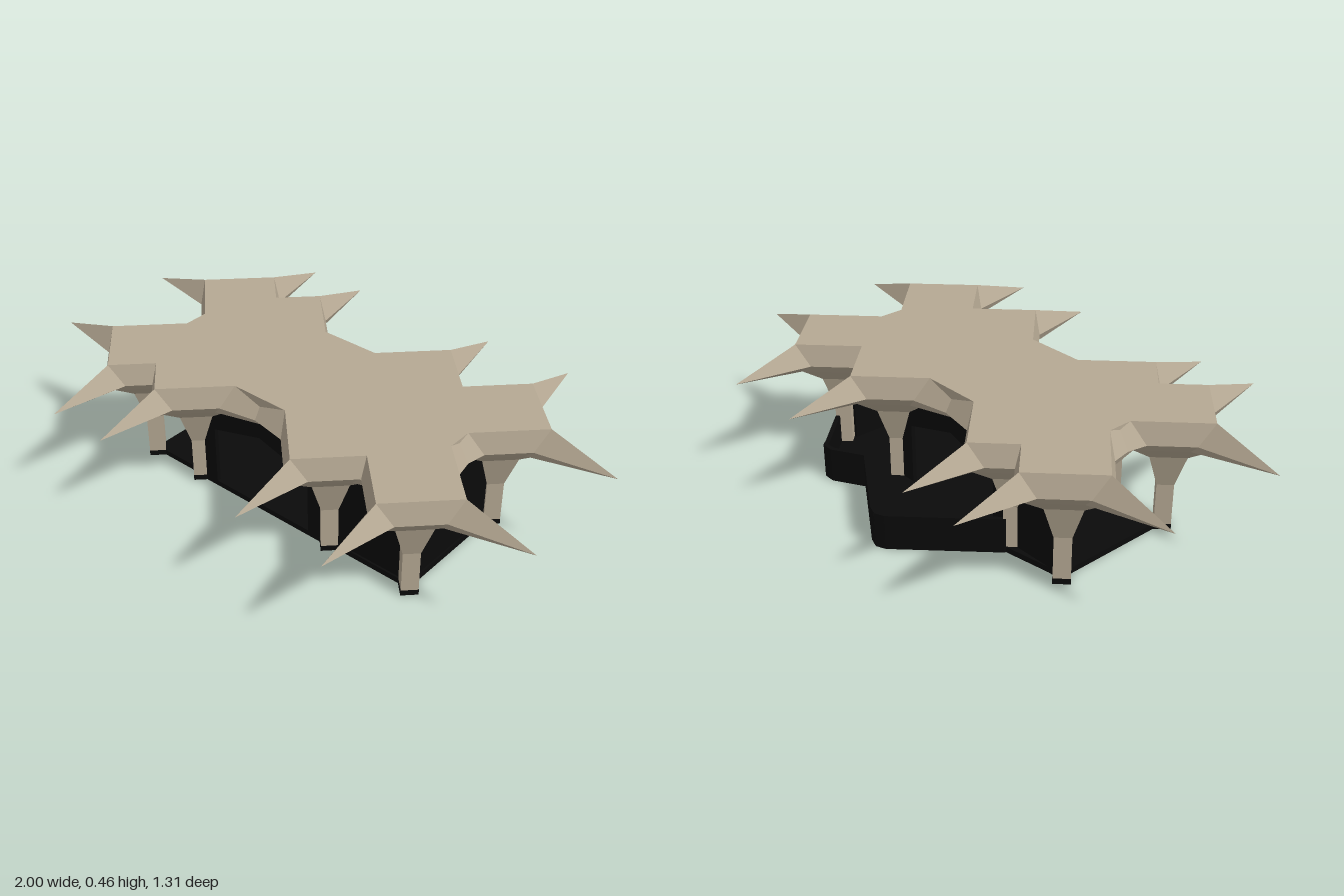
import * as THREE from 'three';

const stone = new THREE.MeshStandardMaterial({ color: 0xb5a893, flatShading: true, side: THREE.DoubleSide });
const black = new THREE.MeshStandardMaterial({ color: 0x0a0a0a, flatShading: true, side: THREE.DoubleSide });

const COLS = [-0.573, -0.345, 0.245, 0.573];
const ZC = 0.23;

// Column sections: height, tip reach, diamond radius, half width of the arm
const SECTIONS = [
  [0.02, 0.04, 0.04, 0.01],
  [0.17, 0.04, 0.04, 0.01],
  [0.29, 0.085, 0.085, 0.02],
  [0.345, 0.165, 0.165, 0.04],
  [0.38, 0.427, 0.21, 0.05],
  [0.455, 0.185, 0.185, 0],
];

// Four-armed column flaring into a spiked canopy
function starColumnGeometry() {
  const pos = [], index = [];
  for (const [y, tip, r, w] of SECTIONS) {
    for (let k = 0; k < 4; k++) {
      const a = k * Math.PI / 2, c = Math.cos(a), s = Math.sin(a);
      for (const [u, v] of [[r - w, -w], [tip, 0], [r - w, w]]) {
        pos.push(u * c - v * s, y, u * s + v * c);
      }
    }
  }
  const n = 12, last = (SECTIONS.length - 1) * n;
  for (let i = 0; i < SECTIONS.length - 1; i++) {
    for (let j = 0; j < n; j++) {
      const a = i * n + j, b = i * n + (j + 1) % n;
      index.push(a, a + n, b, b, a + n, b + n);
    }
  }
  const centre = pos.length / 3;
  pos.push(0, 0.455, 0);
  for (let j = 0; j < n; j++) index.push(centre, last + (j + 1) % n, last + j);
  const g = new THREE.BufferGeometry();
  g.setAttribute('position', new THREE.Float32BufferAttribute(pos, 3));
  g.setIndex(index);
  const flat = g.toNonIndexed();
  flat.computeVertexNormals();
  return flat;
}

function add(parent, name, geometry, material, x = 0, y = 0, z = 0) {
  const m = new THREE.Mesh(geometry, material);
  m.name = name;
  m.position.set(x, y, z);
  parent.add(m);
  return m;
}

const toShape = pts => new THREE.Shape(pts.map(p => new THREE.Vector2(p[0], p[1])));

// Wall panel filling the arch between two columns spaced "span" apart
function archWall(span, opening) {
  const h = span / 2;
  const arc = [[0.04, 0], [0.04, 0.17], [0.085, 0.29], [0.165, 0.345], [0.295, 0.363]].filter(p => p[0] < h - 0.005);
  const [d, y] = arc[arc.length - 1];
  const top = Math.min(0.36, y + (h - d) * (y < 0.3 ? 0.65 : 0.14));
  const left = arc.map(p => [p[0] - h - 0.01, p[1]]);
  const right = arc.map(p => [h + 0.01 - p[0], p[1]]).reverse();
  const shape = toShape([...left, [0, top], ...right]);
  if (opening) shape.holes.push(new THREE.Path(opening.map(p => new THREE.Vector2(p[0], p[1]))));
  return new THREE.ExtrudeGeometry(shape, { depth: 0.015, bevelEnabled: false });
}

export function createModel() {
  const model = new THREE.Group();

  // Columns, canopy spikes and feet
  const column = starColumnGeometry();
  const foot = new THREE.CylinderGeometry(0.041, 0.041, 0.02, 4);
  for (const z of [-ZC, ZC]) {
    for (const x of COLS) {
      add(model, 'starColumn', column, stone, x, 0, z);
      add(model, 'columnFoot', foot, black, x, 0.01, z);
    }
  }

  // Flat roof joining the columns
  add(model, 'roofSlab', new THREE.BoxGeometry(COLS[3] - COLS[0], 0.075, 2 * ZC), stone, 0, 0.4175, 0);

  // Rear terrace edge with rounded points
  const edge = [
    [0.573, -0.26], [0.44, -0.395], [0.42, -0.419], [0.38, -0.419], [0.27, -0.355],
    [-0.015, -0.535], [-0.05, -0.547], [-0.08, -0.535], [-0.345, -0.265],
  ];

  // Floor plate
  const outline = [[COLS[0], ZC], [COLS[3], ZC], ...edge, [COLS[0], -ZC]];
  const floor = new THREE.ExtrudeGeometry(toShape(outline.map(p => [p[0], -p[1]])), { depth: 0.02, bevelEnabled: false });
  floor.rotateX(-Math.PI / 2);
  add(model, 'floor', floor, black);

  // Terrace parapet
  const parapet = new THREE.Group();
  parapet.name = 'parapet';
  model.add(parapet);
  for (let i = 0; i < edge.length - 1; i++) {
    const [x0, z0] = edge[i], [x1, z1] = edge[i + 1];
    const len = Math.hypot(x1 - x0, z1 - z0);
    const wall = add(parapet, 'parapetWall', new THREE.BoxGeometry(len, 0.125, 0.016), black, (x0 + x1) / 2, 0.0625, (z0 + z1) / 2);
    wall.rotation.y = -Math.atan2(z1 - z0, x1 - x0);
    add(parapet, 'parapetJoint', new THREE.CylinderGeometry(0.008, 0.008, 0.125, 8), black, x1, 0.0625, z1);
  }

  // Open portals of the wide middle bay
  const portal = archWall(0.59, [[-0.21, 0.02], [0.21, 0.02], [0.21, 0.24], [0, 0.3], [-0.21, 0.24]]);
  for (const z of [-ZC, ZC]) add(model, 'middlePortal', portal, black, -0.05, 0, z - 0.0075);

  // Solid walls of the closed end
  add(model, 'frontWall', archWall(COLS[3] - COLS[2]), black, (COLS[2] + COLS[3]) / 2, 0, ZC - 0.0225);
  const sideWall = add(model, 'sideWall', archWall(2 * ZC), black, COLS[3] - 0.0225, 0, 0);
  sideWall.rotation.y = Math.PI / 2;

  // Rear wall of the open porch, half dark and half stone
  add(model, 'porchRearWall', archWall(0.228), black, -0.459, 0, -ZC - 0.0075);
  add(model, 'porchPanel', new THREE.BoxGeometry(0.075, 0.22, 0.012), stone, -0.4975, 0.13, -ZC + 0.014);

  return model;
}
